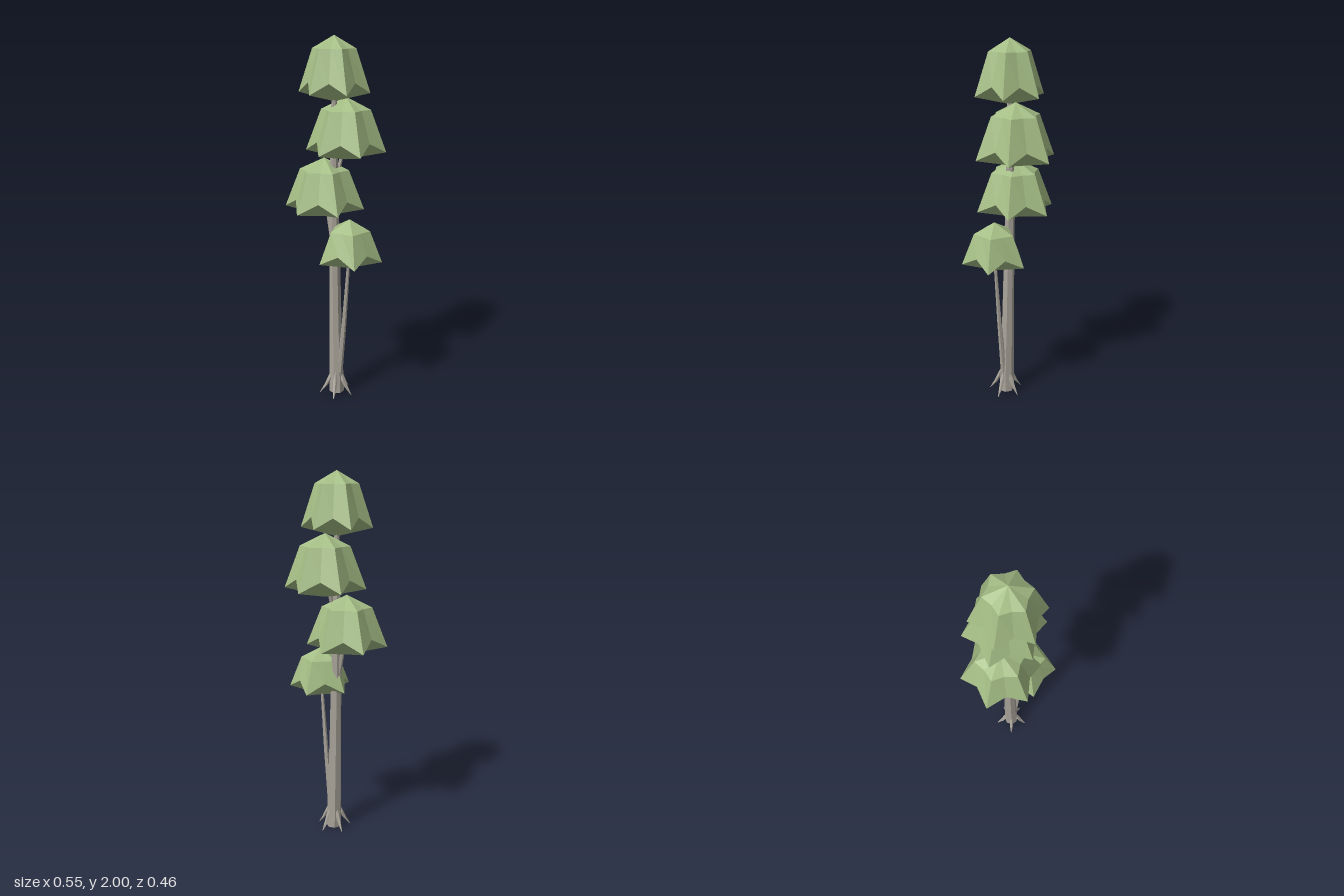
import * as THREE from 'three';

// Faceted skin over rings listed from top to bottom; each ring has the same number of corners
function loft(rings) {
  const pos = [];
  const n = rings[0].length;
  const tri = (a, b, c) => pos.push(...a, ...b, ...c);
  for (let r = 0; r < rings.length - 1; r++) {
    for (let i = 0; i < n; i++) {
      const j = (i + 1) % n;
      const [up, low] = [rings[r], rings[r + 1]];
      if (r > 0) tri(up[i], up[j], low[i]);
      else tri(up[i], low[j], low[i]);
      if (r > 0 && r < rings.length - 2) tri(up[j], low[j], low[i]);
    }
  }
  const geo = new THREE.BufferGeometry();
  geo.setAttribute('position', new THREE.Float32BufferAttribute(pos, 3));
  geo.computeVertexNormals();
  return geo;
}

// Ring of n corners; place(i) gives [radius, y] for each corner
function ring(n, cx, cz, place) {
  return Array.from({ length: n }, (_, i) => {
    const a = (i / n) * Math.PI * 2;
    const [r, y] = place(i);
    return [cx + r * Math.cos(a), y, cz + r * Math.sin(a)];
  });
}

// Tapered limb through [x, y, z, radius] stations listed from top to bottom
function limb(stations, sides) {
  const first = stations[0];
  const last = stations[stations.length - 1];
  const all = [[first[0], first[1], first[2], 0], ...stations, [last[0], last[1], last[2], 0]];
  return loft(all.map(([x, y, z, r]) => ring(sides, x, z, () => [r, y])));
}

// Star-shaped foliage bell: apex, shoulder, pointed rim, shallow cone underneath
function canopy({ points, x, z, apex, shoulder, rim, base, rShoulder, rRim }) {
  const n = points * 2;
  const tip = (i) => i % 2 === 0;
  return loft([
    ring(n, x, z, () => [0, apex]),
    ring(n, x, z, (i) => [rShoulder * (tip(i) ? 1 : 0.79), shoulder]),
    ring(n, x, z, (i) => [rRim * (tip(i) ? 1 : 0.74), rim + (tip(i) ? 0 : 0.055)]),
    ring(n, x, z, () => [0, base]),
  ]);
}

export function createModel() {
  const tree = new THREE.Group();
  tree.name = 'tree';
  const bark = new THREE.MeshStandardMaterial({ color: 0xa8a399 });
  bark.name = 'bark';
  const leaf = new THREE.MeshStandardMaterial({ color: 0xa4bd85 });
  leaf.name = 'leaf';
  const add = (name, geo, mat) => {
    const mesh = new THREE.Mesh(geo, mat);
    mesh.name = name;
    tree.add(mesh);
  };

  // Trunk, leaning slightly at the foot
  add('trunk', limb([
    [0, 1.8, 0, 0.012],
    [0, 1.4, 0, 0.021],
    [0.001, 1.0, 0.001, 0.028],
    [0.009, 0.5, 0.008, 0.034],
    [0.018, 0.005, 0.015, 0.043],
  ], 7), bark);

  // Branches carrying the side canopies
  add('lowBranch', limb([[0.094, 0.85, 0.065, 0.008], [0.066, 0.45, 0.046, 0.013], [0.035, 0.1, 0.027, 0.018]], 6), bark);
  add('middleBranch', limb([[-0.05, 1.15, -0.02, 0.009], [-0.002, 0.88, 0, 0.016]], 6), bark);
  add('upperBranch', limb([[0.052, 1.46, -0.036, 0.008], [0.004, 1.22, 0, 0.013]], 6), bark);

  // Claw roots around the foot
  for (let k = 0; k < 5; k++) {
    const a = THREE.MathUtils.degToRad(18 + 72 * k);
    const at = (r, y, w) => [0.018 + r * Math.cos(a), y, 0.018 + r * Math.sin(a), w];
    add('root' + (k + 1), limb([at(0.028, 0.135, 0.004), at(0.042, 0.085, 0.014), at(0.062, 0.045, 0.011), at(0.095, 0, 0.002)], 5), bark);
  }

  // Foliage
  add('topCanopy', canopy({ points: 6, x: 0, z: 0, apex: 2, shoulder: 1.935, rim: 1.715, base: 1.67, rShoulder: 0.114, rRim: 0.188 }), leaf);
  add('upperCanopy', canopy({ points: 6, x: 0.055, z: -0.04, apex: 1.69, shoulder: 1.625, rim: 1.405, base: 1.36, rShoulder: 0.132, rRim: 0.216 }), leaf);
  add('middleCanopy', canopy({ points: 6, x: -0.057, z: -0.02, apex: 1.37, shoulder: 1.305, rim: 1.095, base: 1.045, rShoulder: 0.134, rRim: 0.217 }), leaf);
  add('lowCanopy', canopy({ points: 5, x: 0.096, z: 0.065, apex: 1.06, shoulder: 1.0, rim: 0.83, base: 0.785, rShoulder: 0.11, rRim: 0.177 }), leaf);
  return tree;
}
